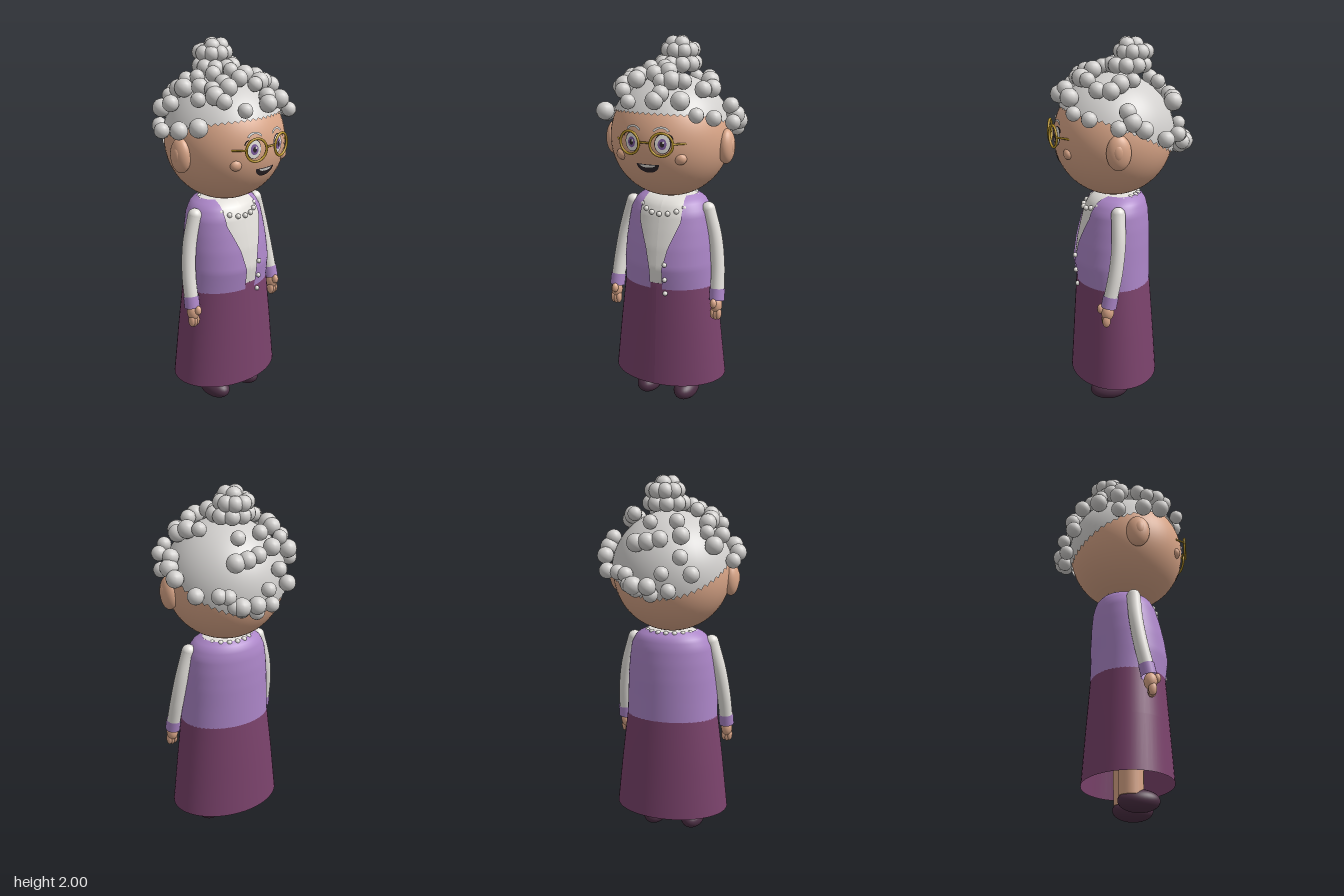
import * as THREE from 'three';

const mat = (name, color, side = THREE.FrontSide) => {
  const m = new THREE.MeshStandardMaterial({ color, side });
  m.name = name;
  return m;
};

export function createModel() {
  const D = THREE.DoubleSide;
  const hair = mat('silver hair', 0xd2d0ce, D), skin = mat('skin', 0xdaa688);
  const cream = mat('cream', 0xe4e1dc, D), lilac = mat('lilac', 0xac86c8, D);
  const plum = mat('plum', 0x7a426b, D), shoeMat = mat('shoe', 0x4c2f44);
  const gold = mat('gold', 0xb8942a), dark = mat('dark', 0x2c2428, D), iris = mat('iris', 0x7d5c9e, D);

  const model = new THREE.Group();
  model.name = 'grandmother';
  const group = (name) => {
    const g = new THREE.Group();
    g.name = name;
    model.add(g);
    return g;
  };
  const add = (name, geo, material, pos = [0, 0, 0], parent = model) => {
    const m = new THREE.Mesh(geo, material);
    m.name = name;
    m.position.set(...pos);
    parent.add(m);
    return m;
  };
  const ball = (name, material, pos, size, parent = model, seg = 24) => {
    const m = add(name, new THREE.SphereGeometry(1, seg, Math.ceil(seg * 0.7)), material, pos, parent);
    m.scale.set(...size);
    return m;
  };
  // straight rod between two points
  const rod = (name, material, a, b, r, parent = model) => {
    const p = new THREE.Vector3(...a), q = new THREE.Vector3(...b);
    return add(name, new THREE.TubeGeometry(new THREE.LineCurve3(p, q), 1, r, 20), material, [0, 0, 0], parent);
  };
  // linear lookup in rows of [y, value, value...]
  const at = (rows, y) => {
    let i = 0;
    while (i < rows.length - 2 && y > rows[i + 1][0]) i++;
    const a = rows[i], b = rows[i + 1], t = THREE.MathUtils.clamp((y - a[0]) / (b[0] - a[0]), 0, 1);
    return a.map((v, k) => v + (b[k] - v) * t);
  };
  // elliptical rings [y, half width, front z, back z], optionally open at the front
  const loft = (name, rings, material, inset = 0, gap = () => 0) => {
    const N = 56, pos = [], idx = [];
    rings.forEach(([y, w, f, b], j) => {
      const rx = Math.max(w - inset, 0.001), rz = Math.max((f - b) / 2 - inset, 0.001), a = gap(y, rx);
      for (let i = 0; i <= N; i++) {
        const t = a + (i / N) * (Math.PI * 2 - 2 * a);
        pos.push(rx * Math.sin(t), y, (f + b) / 2 + rz * Math.cos(t));
        if (i < N && j < rings.length - 1) {
          const k = j * (N + 1) + i, u = k + N + 1;
          idx.push(k, k + 1, u + 1, k, u + 1, u);
        }
      }
    });
    const g = new THREE.BufferGeometry();
    g.setAttribute('position', new THREE.Float32BufferAttribute(pos, 3));
    g.setIndex(idx);
    g.computeVertexNormals();
    return add(name, g, material);
  };

  // torso: blouse under an open vest
  const torso = [[0.70, 0.255, 0.235, -0.165], [0.82, 0.252, 0.25, -0.165], [0.93, 0.245, 0.235, -0.165],
    [1.02, 0.235, 0.215, -0.162], [1.10, 0.222, 0.195, -0.155], [1.15, 0.197, 0.17, -0.143],
    [1.175, 0.168, 0.14, -0.125], [1.188, 0.14, 0.11, -0.1]];
  const opening = [[0.70, 0.033], [0.82, 0.034], [0.93, 0.06], [1.07, 0.115], [1.15, 0.115], [1.188, 0.105]];
  const rows = [];
  for (let i = 0; i <= 28; i++) rows.push(at(torso, 0.70 + 0.488 * i / 28));
  loft('vest', rows, lilac, 0, (y, rx) => Math.asin(Math.min(at(opening, y)[1] / rx, 1)));
  loft('blouse', [...rows.filter((r) => r[0] > 0.72), [1.188, 0.001, 0.006, 0.004]], cream, 0.008);
  loft('skirt', [[0.155, 0.318, 0.27, -0.205], [0.45, 0.286, 0.252, -0.185], [0.70, 0.255, 0.236, -0.166],
    [0.735, 0.25, 0.232, -0.16]], plum);

  // buttons and pearl necklace
  [0.85, 0.765, 0.685].forEach((y) => ball('button', cream, [0.052, y, at(torso, y)[2] + 0.003], [0.013, 0.013, 0.013], model, 12));
  const necklace = group('necklace');
  for (let i = 0; i < 20; i++) {
    const t = (i / 20) * Math.PI * 2, front = Math.pow((1 + Math.cos(t)) / 2, 2);
    ball('pearl', cream, [0.145 * Math.sin(t), 1.183 - 0.075 * front, 0.045 + 0.148 * Math.cos(t)], [0.014, 0.014, 0.014], necklace, 12);
  }

  // arms, hands, legs and shoes
  for (const s of [1, -1]) {
    const arm = group(s > 0 ? 'leftArm' : 'rightArm');
    const path = new THREE.CatmullRomCurve3([[0.218, 1.12, 0.04], [0.26, 0.97, 0.045], [0.284, 0.82, 0.065], [0.294, 0.68, 0.095]]
      .map(([x, y, z]) => new THREE.Vector3(s * x, y, z)));
    add('sleeve', new THREE.TubeGeometry(path, 24, 0.037, 20), cream, [0, 0, 0], arm);
    ball('shoulder', cream, [s * 0.218, 1.12, 0.04], [0.037, 0.037, 0.037], arm);
    rod('cuff', lilac, [s * 0.293, 0.7, 0.091], [s * 0.296, 0.637, 0.104], 0.041, arm);
    ball('palm', skin, [s * 0.296, 0.61, 0.11], [0.031, 0.046, 0.034], arm);
    ball('thumb', skin, [s * 0.29, 0.63, 0.146], [0.018, 0.026, 0.018], arm, 16);
    for (const k of [-1, 0, 1]) {
      ball('finger', skin, [s * 0.296 + k * 0.016, 0.566 - (k ? 0 : 0.004), 0.118], [0.015, 0.035, 0.022], arm, 16);
    }
    const leg = group(s > 0 ? 'leftLeg' : 'rightLeg');
    add('shin', new THREE.CylinderGeometry(0.065, 0.062, 0.34, 28), skin, [s * 0.112, 0.25, 0.035], leg);
    ball('shoe', shoeMat, [s * 0.112, 0.057, 0.073], [0.066, 0.057, 0.106], leg, 32);
  }

  // head and ears
  const C = [0, 1.493, 0.03], R = 0.315;
  ball('head', skin, C, [R, R, R], model, 56);
  for (const s of [1, -1]) {
    ball('ear', skin, [s * 0.315, 1.465, 0.053], [0.043, 0.09, 0.063], model, 28);
    ball('innerEar', skin, [s * 0.347, 1.47, 0.058], [0.014, 0.04, 0.026], model, 16);
    ball('cheek', skin, [s * 0.155, 1.435, 0.285], [0.035, 0.03, 0.026], model, 16);
  }

  // face plates wrapped onto the head: disc or arc at (x, y) with half sizes w, h
  const plate = (name, material, x, y, w, h, lift, inner = 0.001, start = 0, sweep = Math.PI * 2) => {
    const g = new THREE.RingGeometry(inner, 1, 32, 4, start, sweep), p = g.attributes.position;
    for (let i = 0; i < p.count; i++) {
      const px = x + p.getX(i) * w, py = y + p.getY(i) * h, dy = py - C[1], r = R + lift;
      p.setXYZ(i, px, py, C[2] + Math.sqrt(r * r - px * px - dy * dy));
    }
    g.computeVertexNormals();
    add(name, g, material);
  };
  for (const s of [1, -1]) {
    const x = s * 0.082;
    plate('eyeOutline', dark, x, 1.514, 0.04, 0.05, 0.002);
    plate('eyeWhite', cream, x, 1.513, 0.036, 0.046, 0.004);
    plate('iris', iris, x, 1.512, 0.021, 0.027, 0.006);
    plate('pupil', dark, x, 1.512, 0.011, 0.014, 0.008);
    plate('eyeGlint', cream, x + 0.007, 1.521, 0.005, 0.006, 0.0095);
    plate('lash', dark, x + s * 0.012, 1.535, 0.04, 0.03, 0.007, 0.85, s > 0 ? 0.1 : 2.0, 1.1);
    plate('eyebrow', hair, x - s * 0.008, 1.55, 0.05, 0.047, 0.008, 0.78, 0.6, 1.95);
  }
  plate('mouth', dark, 0, 1.405, 0.06, 0.046, 0.003, 0.001, Math.PI, Math.PI);
  plate('teeth', cream, 0, 1.402, 0.042, 0.014, 0.006, 0.001, Math.PI, Math.PI);

  // spectacles
  const glasses = group('glasses');
  for (const s of [1, -1]) {
    const rim = add('rim', new THREE.TorusGeometry(0.057, 0.0065, 10, 36), gold, [s * 0.085, 1.513, 0.355], glasses);
    rim.rotation.y = s * 0.245;
    rod('temple', gold, [s * 0.142, 1.518, 0.345], [s * 0.192, 1.512, 0.265], 0.005, glasses);
  }
  rod('bridge', gold, [-0.03, 1.518, 0.357], [0.03, 1.518, 0.357], 0.005, glasses);

  // hair cap with a hairline high in front and low behind
  const capGeo = new THREE.SphereGeometry(1, 56, 28);
  const cp = capGeo.attributes.position, cn = capGeo.attributes.normal, uv = capGeo.attributes.uv;
  for (let i = 0; i < cp.count; i++) {
    const phi = uv.getX(i) * Math.PI * 2, c = Math.cos(phi);
    const edge = 0.08 + 0.41 * c + 0.16 * (1 - c * c);
    const th = (1 - uv.getY(i)) * (Math.PI / 2 - edge);
    const n = [Math.sin(th) * Math.sin(phi), Math.cos(th), Math.sin(th) * c];
    cn.setXYZ(i, ...n);
    cp.setXYZ(i, ...n.map((v) => v * 0.325));
  }
  add('hairCap', capGeo, hair, C);

  // curls scattered over the cap, as [x, z] pairs
  const curls = group('curls');
  const spots = [-.04, -.33, -.125, -.29, -.18, -.285, .03, -.34, .11, -.325, .14, -.31, .205, -.27, .29, -.19,
    -.115, -.235, -.265, -.155, -.225, -.14, -.08, -.18, -.015, -.27, .05, -.275, .11, -.265, .055, -.195,
    -.345, -.055, -.285, -.055, -.215, -.08, -.22, -.03, -.145, -.015, -.1, .055, -.2, .07, -.345, .08,
    -.305, .18, -.25, .115, -.18, .14, -.12, .15, -.12, .19, -.195, .175, -.115, .305, -.18, .225,
    -.03, .17, .035, .14, .075, .205, .025, .225, .13, .18, .05, .285, .03, .315, .15, .275,
    .23, .265, .295, .195, .22, .145, .245, .08, .215, .03, .185, -.04, .35, .06, .32, .01,
    .34, -.07, .34, -.01, -.01, .085];
  const curl = (x, y, z, r) => ball('curl', hair, [x, y, z], [r, r, r], curls, 14);
  for (let i = 0; i < spots.length; i += 2) {
    const x = spots[i], z = spots[i + 1], d = 0.365 ** 2 - x * x - (z - C[2]) ** 2;
    curl(x, C[1] + (d > 0 ? Math.sqrt(d) : -0.02), z, 0.038 + 0.0025 * ((i * 3) % 5));
  }
  [[-0.07, 1.45], [0.02, 1.43], [0.1, 1.45], [0.16, 1.52]].forEach(([x, y]) => curl(x, y, 0.03 - Math.sqrt(0.355 ** 2 - x * x - (y - C[1]) ** 2), 0.04));

  // bun: two stacked rings of curls and a crown
  for (const [n, r, y, z, size] of [[9, 0.085, 1.86, -0.045, 0.042], [9, 0.066, 1.925, -0.075, 0.041], [3, 0.03, 1.957, -0.055, 0.042]]) {
    for (let i = 0; i < n; i++) {
      const t = (i / n) * Math.PI * 2 + n;
      curl(0.01 + r * Math.sin(t), y, z + r * Math.cos(t), size);
    }
  }
  return model;
}
